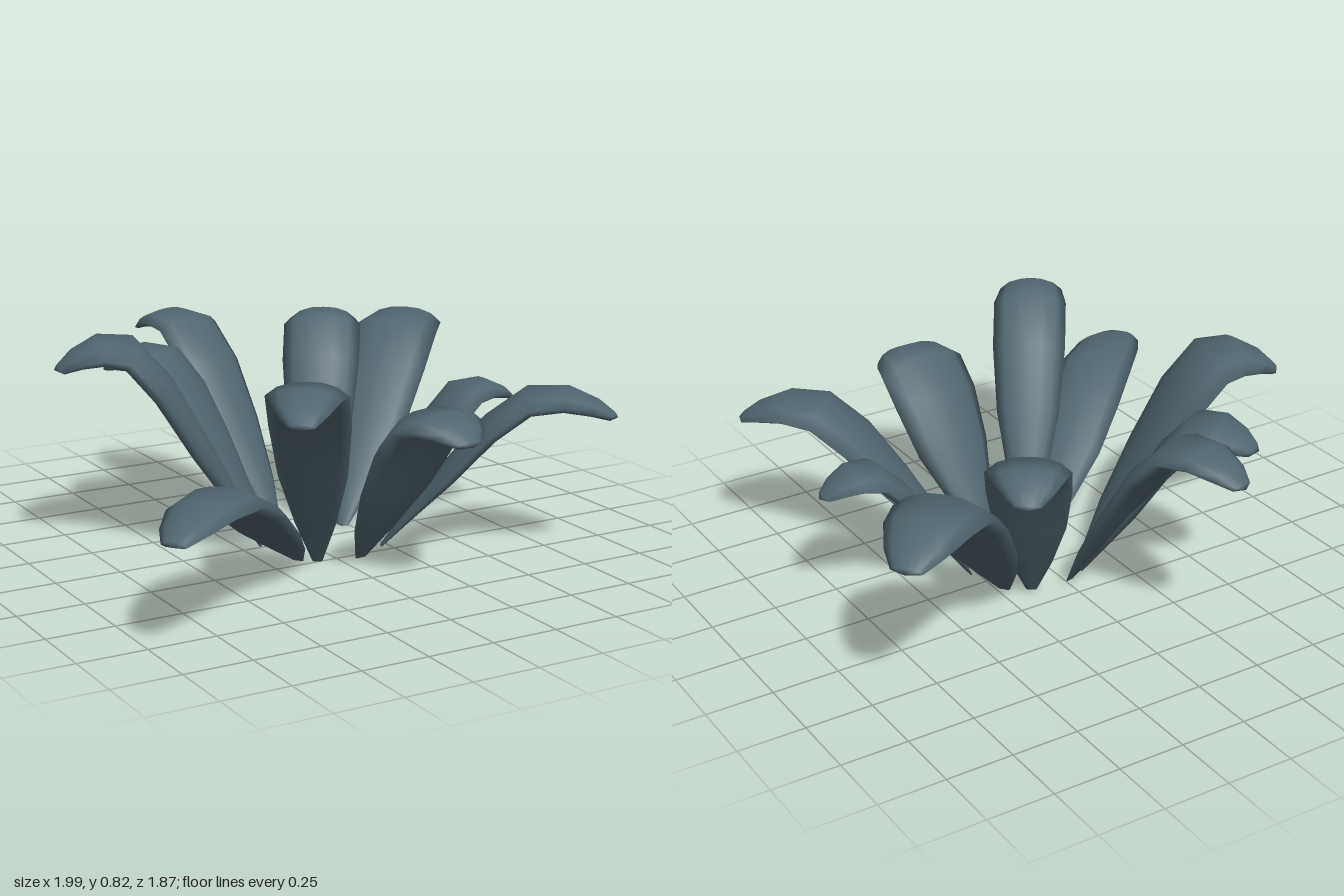
import * as THREE from 'three';

// Rings along a leaf: [fraction outward, fraction of peak height, fraction of half width]
const RINGS = [
  [0, 0.01, 0.13], [0.11, 0.24, 0.52], [0.27, 0.52, 0.86], [0.44, 0.8, 1],
  [0.62, 0.985, 1], [0.8, 1, 0.86], [0.93, null, 0.6], [1, null, 0.32],
];

// Cross-section [across, up]: domed upper face, bevelled sides and a nearly flat underside
const SECTION = [
  [-1, -0.34], [-0.72, -0.12], [-0.36, -0.01], [0, 0.01], [0.36, -0.01], [0.72, -0.12],
  [1, -0.34], [0.74, -0.5], [0, -0.48], [-0.74, -0.5],
];

// Base x, z; tip x, z; peak height; tip height; half width
const LEAVES = [
  ['backLeaf', -0.015, -0.155, -0.21, -0.925, 0.77, 0.69, 0.142],
  ['backRightLeaf', -0.1, -0.11, -0.505, -0.615, 0.7, 0.62, 0.185],
  ['rightLeaf', -0.165, -0.015, -0.865, -0.25, 0.82, 0.72, 0.195],
  ['longFrontRightLeaf', -0.13, 0.2, -0.975, 0.9, 0.47, 0.4, 0.148],
  ['frontRightLeaf', -0.08, 0.25, -0.525, 0.91, 0.8, 0.72, 0.142],
  ['frontLeaf', 0.08, 0.28, 0.14, 0.895, 0.65, 0.57, 0.185],
  ['frontLeftLeaf', 0.22, 0.2, 0.86, 0.75, 0.635, 0.55, 0.16],
  ['leftLeaf', 0.27, 0.08, 0.855, 0.11, 0.56, 0.49, 0.137],
  ['longBackLeftLeaf', 0.22, -0.08, 0.965, -0.705, 0.71, 0.62, 0.178],
  ['backLeftLeaf', 0.14, -0.14, 0.475, -0.65, 0.755, 0.68, 0.15],
];

function leafGeometry(bx, bz, tx, tz, peak, tipY, halfWidth) {
  const path = RINGS.map(([f, h], i) => {
    let y = peak * h;
    if (i === RINGS.length - 2) y = peak + (tipY - peak) * 0.5;
    if (i === RINGS.length - 1) y = tipY;
    return new THREE.Vector3(bx + (tx - bx) * f, y, bz + (tz - bz) * f);
  });
  const out = new THREE.Vector3(tx - bx, 0, tz - bz).normalize();
  const side = out.clone().cross(new THREE.Vector3(0, 1, 0));
  const n = SECTION.length, last = path.length - 1;
  const pos = [], index = [];

  path.forEach((p, i) => {
    const tangent = path[Math.min(i + 1, last)].clone().sub(path[Math.max(i - 1, 0)]).normalize();
    const up = side.clone().cross(tangent);
    const w = halfWidth * RINGS[i][2];
    for (const [s, u] of SECTION) {
      const v = p.clone().addScaledVector(side, s * w).addScaledVector(up, u * w);
      pos.push(v.x, Math.max(0, v.y), v.z);
    }
  });
  for (let i = 0; i < last; i++) {
    for (let j = 0; j < n; j++) {
      const a = i * n + j, b = i * n + (j + 1) % n;
      index.push(a, b, a + n, b, b + n, a + n);
    }
  }
  // Close both ends
  const base = pos.length / 3;
  pos.push(path[0].x, 0, path[0].z);
  const tip = path[last].clone().addScaledVector(out, 0.012);
  pos.push(tip.x, tip.y - 0.015, tip.z);
  for (let j = 0; j < n; j++) {
    const k = (j + 1) % n;
    index.push(base, k, j, base + 1, last * n + j, last * n + k);
  }
  const g = new THREE.BufferGeometry();
  g.setAttribute('position', new THREE.Float32BufferAttribute(pos, 3));
  g.setIndex(index);
  g.computeVertexNormals();
  return g;
}

export function createModel() {
  const group = new THREE.Group();
  group.name = 'leafRosette';
  const leafMaterial = new THREE.MeshStandardMaterial({ color: 0x50656f });
  leafMaterial.name = 'slateGreyBlue';
  for (const [name, ...dims] of LEAVES) {
    const leaf = new THREE.Mesh(leafGeometry(...dims), leafMaterial);
    leaf.name = name;
    group.add(leaf);
  }
  return group;
}
